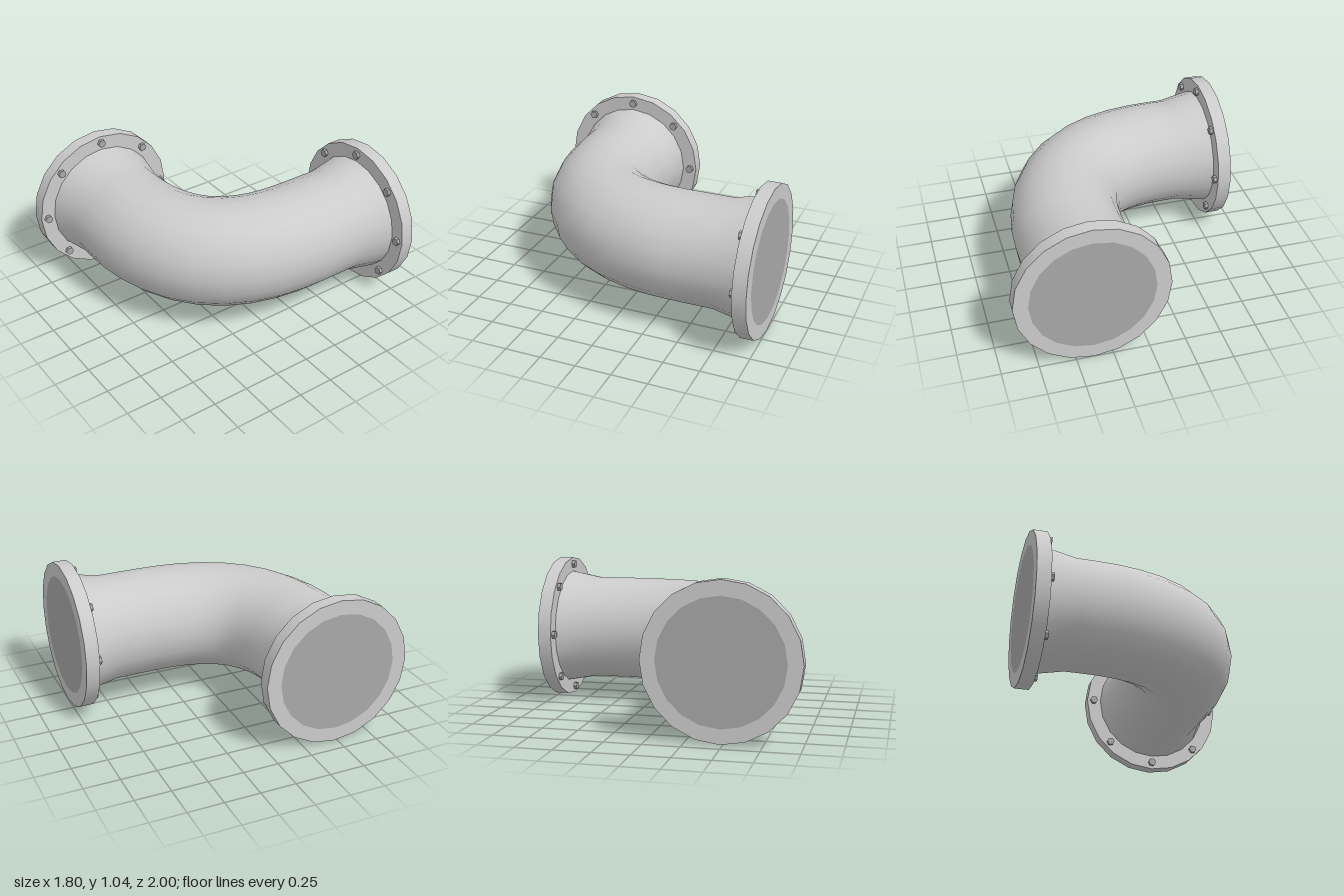
import * as THREE from 'three';

const SIDES = 20;
const AXIS_Y = 0.52;   // height of the pipe's centre line
const PIPE_R = 0.376;
const FLARE_R = 0.42;

const grey = new THREE.MeshStandardMaterial({ color: 0xbdbdbd });
const boltGrey = new THREE.MeshStandardMaterial({ color: 0xa8a8a8, flatShading: true });
const capGrey = new THREE.MeshStandardMaterial({ color: 0xa8a8a8 });

function addMesh(parent, name, geometry, material) {
  const mesh = new THREE.Mesh(geometry, material);
  mesh.name = name;
  parent.add(mesh);
  return mesh;
}

// Flange with end cap and bolts; local +z points along the pipe, outer face at z = 0
function createFlange(name) {
  const flange = new THREE.Group();
  flange.name = name;
  const depth = 0.095;
  const plate = new THREE.CylinderGeometry(0.52, 0.52, depth, SIDES).rotateX(Math.PI / 2);
  addMesh(flange, 'flangePlate', plate, grey).position.z = depth / 2;

  const cap = new THREE.CircleGeometry(FLARE_R, SIDES).rotateY(Math.PI);
  addMesh(flange, 'endCap', cap, capGrey).position.z = -0.001;

  const boltGeo = new THREE.CylinderGeometry(0.029, 0.029, 0.03, 6)
    .rotateY(Math.PI / 6).rotateX(Math.PI / 2);
  for (let i = 0; i < 8; i++) {
    const a = i * Math.PI / 4;
    addMesh(flange, 'bolt', boltGeo, boltGrey)
      .position.set(0.47 * Math.cos(a), 0.47 * Math.sin(a), depth + 0.008);
  }
  return flange;
}

// Pipe skin: horizontal centre line with a radius for each ring
function createPipeGeometry() {
  const bend = new THREE.QuadraticBezierCurve3(
    new THREE.Vector3(-0.49, AXIS_Y, 0.48),
    new THREE.Vector3(0.38, AXIS_Y, 0.48),
    new THREE.Vector3(0.38, AXIS_Y, -0.39));
  const at = (x, z, r) => ({ p: new THREE.Vector3(x, AXIS_Y, z), r });
  const rings = [
    at(-0.82, 0.48, FLARE_R), at(-0.59, 0.48, PIPE_R),
    ...bend.getSpacedPoints(10).map((p) => ({ p, r: PIPE_R })),
    at(0.38, -0.69, PIPE_R), at(0.38, -0.92, FLARE_R),
  ];

  const positions = [], indices = [];
  const up = new THREE.Vector3(0, 1, 0);
  rings.forEach(({ p, r }, i) => {
    const prev = rings[Math.max(i - 1, 0)].p;
    const next = rings[Math.min(i + 1, rings.length - 1)].p;
    const before = p.clone().sub(prev).normalize();
    const after = next.clone().sub(p).normalize();
    const side = before.add(after).normalize().cross(up);
    for (let j = 0; j < SIDES; j++) {
      const a = j / SIDES * Math.PI * 2;
      const v = p.clone().addScaledVector(side, r * Math.cos(a)).addScaledVector(up, r * Math.sin(a));
      positions.push(v.x, v.y, v.z);
      if (i === 0) continue;
      const k = (j + 1) % SIDES;
      const a0 = (i - 1) * SIDES + j, a1 = (i - 1) * SIDES + k;
      const b0 = i * SIDES + j, b1 = i * SIDES + k;
      indices.push(a0, b0, b1, a0, b1, a1);
    }
  });
  const geometry = new THREE.BufferGeometry();
  geometry.setAttribute('position', new THREE.Float32BufferAttribute(positions, 3));
  geometry.setIndex(indices);
  geometry.computeVertexNormals();
  return geometry;
}

export function createModel() {
  const model = new THREE.Group();
  model.name = 'pipeElbow';

  addMesh(model, 'pipe', createPipeGeometry(), grey);

  const backFlange = createFlange('backFlange');
  backFlange.position.set(0.38, AXIS_Y, -1);
  model.add(backFlange);

  const sideFlange = createFlange('sideFlange');
  sideFlange.position.set(-0.9, AXIS_Y, 0.48);
  sideFlange.rotation.y = Math.PI / 2;
  model.add(sideFlange);

  return model;
}
